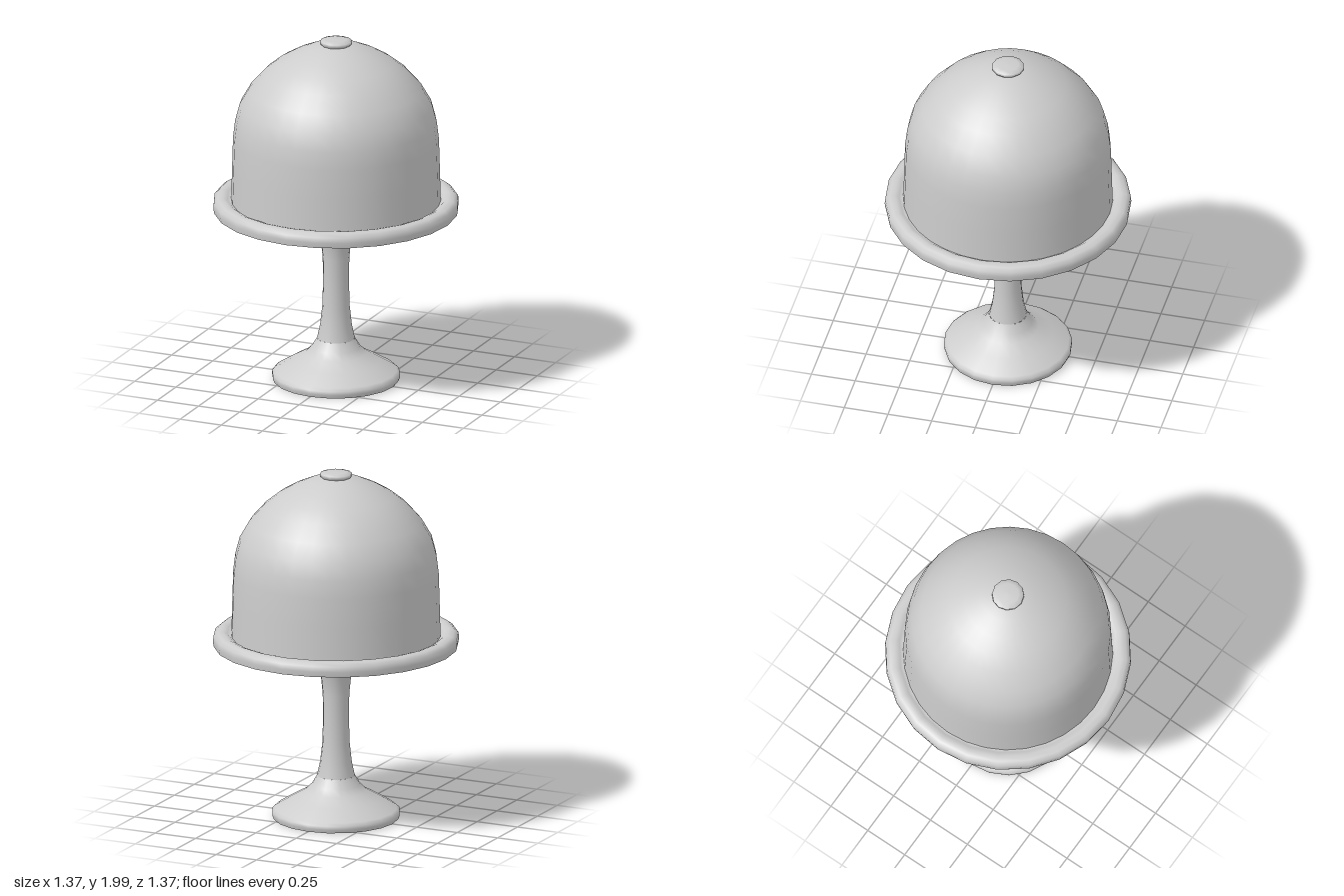
import * as THREE from 'three';

export function createModel() {
  const model = new THREE.Group();
  const gray = new THREE.MeshStandardMaterial({ color: 0xcccccc });
  gray.name = 'pale gray';

  // Turned part; each profile is smooth in itself, with a sharp edge between profiles
  function turned(name, sides, ...profiles) {
    const part = new THREE.Group();
    part.name = name;
    profiles.forEach((profile, i) => {
      const points = profile.map(([r, y]) => new THREE.Vector2(r, y));
      const mesh = new THREE.Mesh(new THREE.LatheGeometry(points, sides), gray);
      mesh.name = name + 'Surface' + (i + 1);
      part.add(mesh);
    });
    model.add(part);
  }

  // Flared foot: flat underside, low edge, sloping top
  turned('foot', 20,
    [[0, 0.01], [0.35, 0.01]],
    [[0.35, 0.01], [0.357, 0.03], [0.357, 0.05], [0.34, 0.065], [0.25, 0.12], [0.17, 0.165],
      [0.135, 0.2], [0.105, 0.25]]);

  // Slender stem, widening under the plate
  turned('stem', 16,
    [[0.105, 0.25], [0.088, 0.33], [0.076, 0.44], [0.072, 0.58], [0.074, 0.72], [0.083, 0.81],
      [0.105, 0.89], [0.132, 0.962]]);

  // Plate: shallow cone below, rounded rim, slightly sunken top
  turned('plate', 24,
    [[0, 0.955], [0.13, 0.96], [0.68, 1.0]],
    [[0.68, 1.0], [0.685, 1.03], [0.682, 1.06], [0.66, 1.078], [0.63, 1.083], [0.605, 1.075],
      [0.585, 1.06], [0, 1.055]]);

  // Bell-shaped cover
  turned('dome', 32,
    [[0.583, 1.05], [0.581, 1.1], [0.577, 1.25], [0.572, 1.42], [0.56, 1.52], [0.535, 1.615],
      [0.48, 1.71], [0.4, 1.8], [0.325, 1.86], [0.24, 1.91], [0.15, 1.95], [0.07, 1.97], [0, 1.975]]);

  // Low button on top of the cover
  turned('knob', 12,
    [[0.07, 1.955], [0.09, 1.975], [0.088, 1.99], [0.06, 1.998], [0, 2.0]]);

  return model;
}
